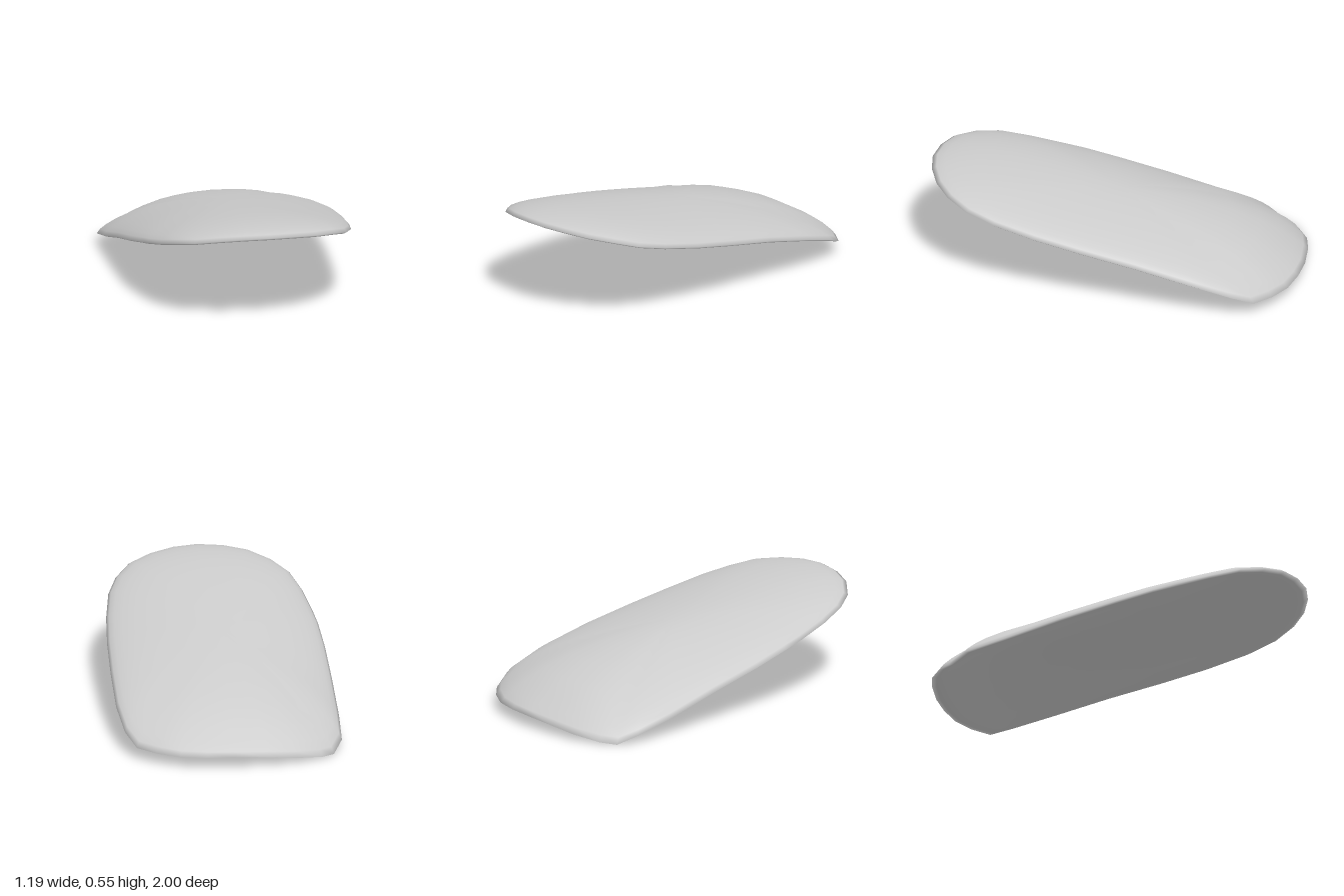
import * as THREE from 'three';

// Rim of the pad, counter-clockwise from the back middle: x, y, z
const RIM = [
  [0, 0.068, -1], [-0.19, 0.055, -0.98], [-0.34, 0.035, -0.945], [-0.48, 0.012, -0.875],
  [-0.545, 0.002, -0.81], [-0.595, 0.045, -0.71], [-0.597, 0.10, -0.5], [-0.585, 0.19, -0.2],
  [-0.57, 0.27, 0.1], [-0.55, 0.325, 0.3], [-0.53, 0.355, 0.42], [-0.49, 0.405, 0.6],
  [-0.435, 0.45, 0.75], [-0.35, 0.48, 0.86], [-0.23, 0.51, 0.94], [-0.1, 0.525, 0.98],
  [0.04, 0.53, 0.995], [0.17, 0.525, 0.975], [0.3, 0.51, 0.925], [0.41, 0.49, 0.845],
  [0.49, 0.455, 0.73], [0.54, 0.42, 0.58], [0.57, 0.37, 0.35], [0.585, 0.32, 0.1],
  [0.59, 0.26, -0.2], [0.585, 0.185, -0.5], [0.555, 0.12, -0.71], [0.5, 0.07, -0.82],
  [0.4, 0.065, -0.9], [0.28, 0.063, -0.96], [0.14, 0.066, -0.99],
];

// Height of the crown along the centre line, evenly spaced from back to front
const CROWN = new THREE.SplineCurve(
  [0.10, 0.23, 0.32, 0.38, 0.43, 0.475, 0.515, 0.543, 0.55].map((y, i) => new THREE.Vector2(i, y)),
);
const HALF = 0.035; // half the thickness
const middle = (z) => CROWN.getPoint(THREE.MathUtils.clamp((z + 1) / 2, 0, 1)).y - HALF;

// Closed skin: rings run from the top centre out to the rim and back under to the bottom centre
function padGeometry() {
  const steps = [0.2, 0.4, 0.6, 0.75, 0.86, 0.93, 0.975];
  const rings = [
    ...steps.map((s) => [s, 1]),
    [1, 0],
    ...steps.slice().reverse().map((s) => [s, -1]),
  ];
  const n = RIM.length;
  const pos = [0, middle(0) + HALF, 0];
  for (const [s, side] of rings) {
    const bulge = side * HALF * Math.sqrt(1 - s ** 8);
    for (const [x, y, z] of RIM) {
      const arch = (y - middle(z)) * s * s;
      pos.push(x * s, middle(z * s) + arch + bulge, z * s);
    }
  }
  pos.push(0, middle(0) - HALF, 0);

  const index = [];
  const last = pos.length / 3 - 1;
  const at = (r, i) => 1 + r * n + (i % n);
  for (let i = 0; i < n; i++) {
    index.push(0, at(0, i), at(0, i + 1));
    for (let r = 0; r < rings.length - 1; r++) {
      const a = at(r, i), b = at(r, i + 1), c = at(r + 1, i), d = at(r + 1, i + 1);
      index.push(a, c, d, a, d, b);
    }
    index.push(last, at(rings.length - 1, i + 1), at(rings.length - 1, i));
  }

  const geometry = new THREE.BufferGeometry();
  geometry.setAttribute('position', new THREE.Float32BufferAttribute(pos, 3));
  geometry.setIndex(index);
  geometry.computeVertexNormals();
  return geometry;
}

export function createModel() {
  const group = new THREE.Group();
  const pad = new THREE.Mesh(padGeometry(), new THREE.MeshStandardMaterial({ color: 0xcccccc }));
  pad.name = 'curvedPad';
  group.add(pad);
  return group;
}
